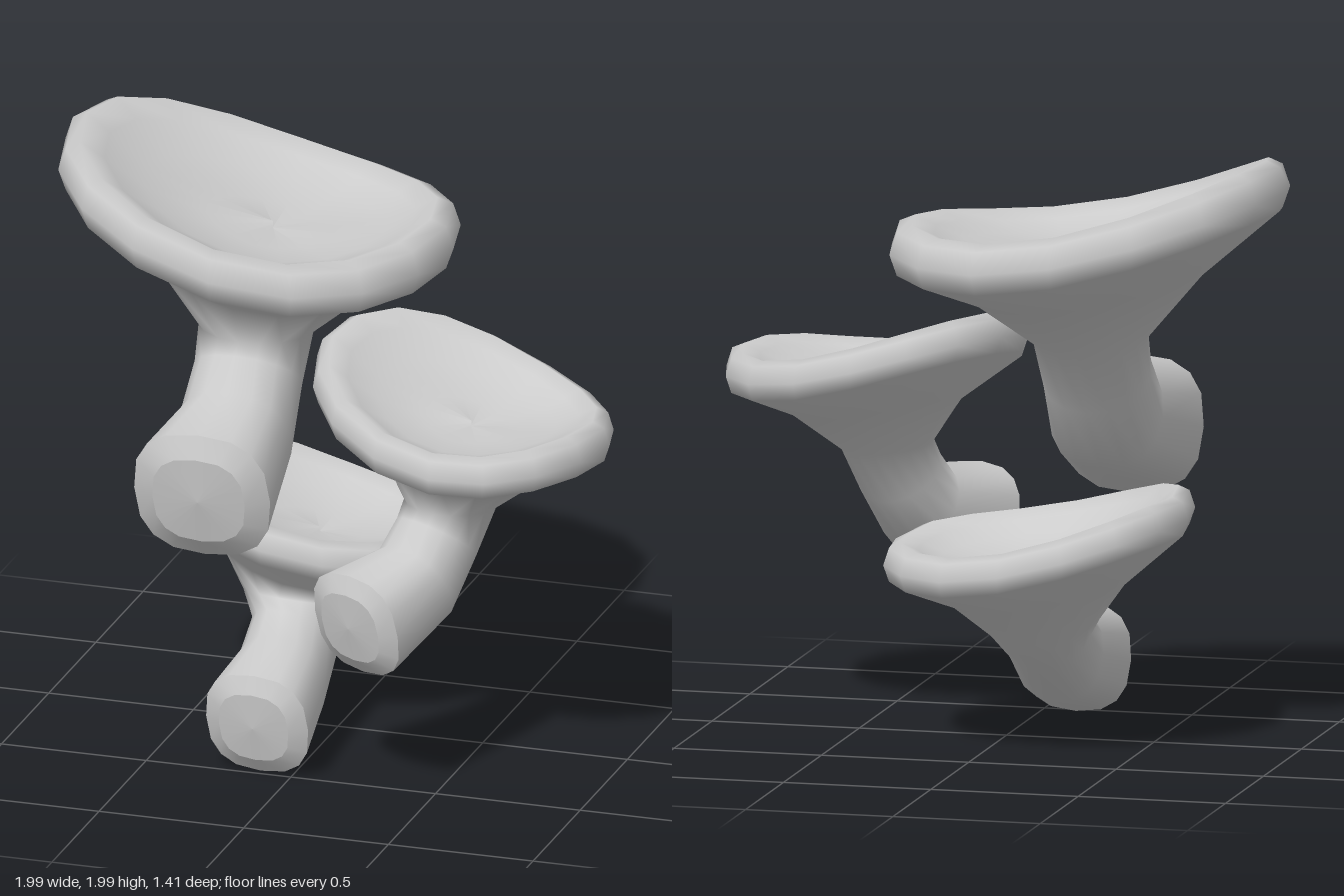
import * as THREE from 'three';

const SIDES = 16;

// Cap rings from bowl centre, over the lip, to the underside.
// [x, y, z, radiusX, radiusZ, tilt in degrees, warp, squareness]
const CAP = [
  [0.05, -0.112, 0, 0, 0, 0, 0.1, 2],
  [0.04, -0.107, 0, 0.22, 0.18, 0, 0.25, 2],
  [0.02, -0.08, 0, 0.41, 0.335, 0, 0.6, 2],
  [0.005, -0.038, 0, 0.52, 0.425, 0, 0.88, 2.1],
  [0, -0.003, 0, 0.595, 0.487, 0, 1, 2.15],
  [0.003, -0.025, 0, 0.645, 0.528, 0, 1, 2.15],
  [0.003, -0.1, 0, 0.67, 0.548, 0, 1, 2.15],
  [0.003, -0.17, 0, 0.645, 0.53, 0, 1, 2.15],
  [0.015, -0.28, 0.015, 0.39, 0.31, 0, 0.45, 2],
];

// Stem rings from the neck to the cut end, bending forward
const STEM_BENT = [
  [0.025, -0.43, 0.1, 0.19, 0.2, 5, 0.05, 2],
  [0.025, -0.56, 0.185, 0.18, 0.18, 37, 0, 2.1],
  [0.025, -0.72, 0.315, 0.19, 0.19, 61, 0, 2.3],
  [0.025, -0.815, 0.675, 0.235, 0.228, 79, 0, 2.6],
];
const STEM_LEANING = [
  [0.03, -0.37, 0.14, 0.25, 0.265, 18, 0.05, 2],
  [0.06, -0.46, 0.28, 0.19, 0.2, 42, 0, 2.1],
  [0.1, -0.59, 0.53, 0.2, 0.212, 78, 0, 2.3],
  [0.13, -0.672, 0.865, 0.235, 0.232, 80, 0, 2.6],
];

// Skins a row of rings; the warp lifts one side of the cap, frontLift its front
function loft(rings, frontLift) {
  const positions = [], index = [];
  for (const [cx, cy, cz, a, b, tilt, warp, square] of rings) {
    const th = THREE.MathUtils.degToRad(tilt);
    for (let i = 0; i < SIDES; i++) {
      const t = (i / SIDES) * Math.PI * 2;
      const [u, v] = [Math.cos(t), Math.sin(t)].map(
        (k) => Math.sign(k) * Math.pow(Math.abs(k), 2 / square));
      const sideLift = 0.1 * u * u - 0.14 * u + 0.022 * u * u * u;
      const lift = warp * (sideLift - 0.02 * v + frontLift * Math.max(v, 0));
      positions.push(cx + a * u, cy + b * v * Math.sin(th) + lift, cz + b * v * Math.cos(th));
    }
  }
  for (let r = 0; r < rings.length - 1; r++) {
    for (let i = 0; i < SIDES; i++) {
      const p = r * SIDES + i, q = r * SIDES + ((i + 1) % SIDES);
      index.push(p, q, p + SIDES, q, q + SIDES, p + SIDES);
    }
  }
  const geometry = new THREE.BufferGeometry();
  geometry.setAttribute('position', new THREE.Float32BufferAttribute(positions, 3));
  geometry.setIndex(index);
  geometry.computeVertexNormals();
  return geometry;
}

// Shrinks the last stem ring and pushes it out along the stem
function inset(ring, push, scale) {
  const [x, y, z, a, b, tilt, warp, square] = ring;
  const th = THREE.MathUtils.degToRad(tilt);
  return [x, y - push * Math.cos(th), z + push * Math.sin(th), a * scale, b * scale, tilt, warp, square];
}

function createMushroom(name, stem, frontLift, material) {
  const group = new THREE.Group();
  group.name = name;

  const body = new THREE.Mesh(loft([...CAP, ...stem], frontLift), material);
  body.name = 'capAndStem';

  // Bevelled stem end: a hard outer edge, a chamfer and a slightly domed face
  const end = stem[stem.length - 1];
  const rim = inset(end, 0.04, 0.68);
  const chamfer = new THREE.Mesh(loft([end, rim], 0), material);
  chamfer.name = 'stemEndChamfer';
  const face = new THREE.Mesh(loft([rim, inset(end, 0.052, 0)], 0), material);
  face.name = 'stemEndFace';

  group.add(body, chamfer, face);
  return group;
}

export function createModel() {
  const material = new THREE.MeshStandardMaterial({ color: 0xcccccc });
  const model = new THREE.Group();
  model.name = 'mushroomCluster';

  const cluster = [
    { name: 'largeMushroom', stem: STEM_BENT, frontLift: 0, at: [-0.325, 1.78, -0.155], scale: 1, yaw: 0 },
    { name: 'sideMushroom', stem: STEM_BENT, frontLift: 0, at: [0.472, 1.256, 0.125], scale: 0.79, yaw: -25 },
    { name: 'lowerMushroom', stem: STEM_LEANING, frontLift: 0.1, at: [-0.157, 0.7, -0.172], scale: 0.775, yaw: -5 },
  ];
  for (const { name, stem, frontLift, at, scale, yaw } of cluster) {
    const mushroom = createMushroom(name, stem, frontLift, material);
    mushroom.position.set(...at);
    mushroom.scale.setScalar(scale);
    mushroom.rotation.y = THREE.MathUtils.degToRad(yaw);
    model.add(mushroom);
  }
  return model;
}
